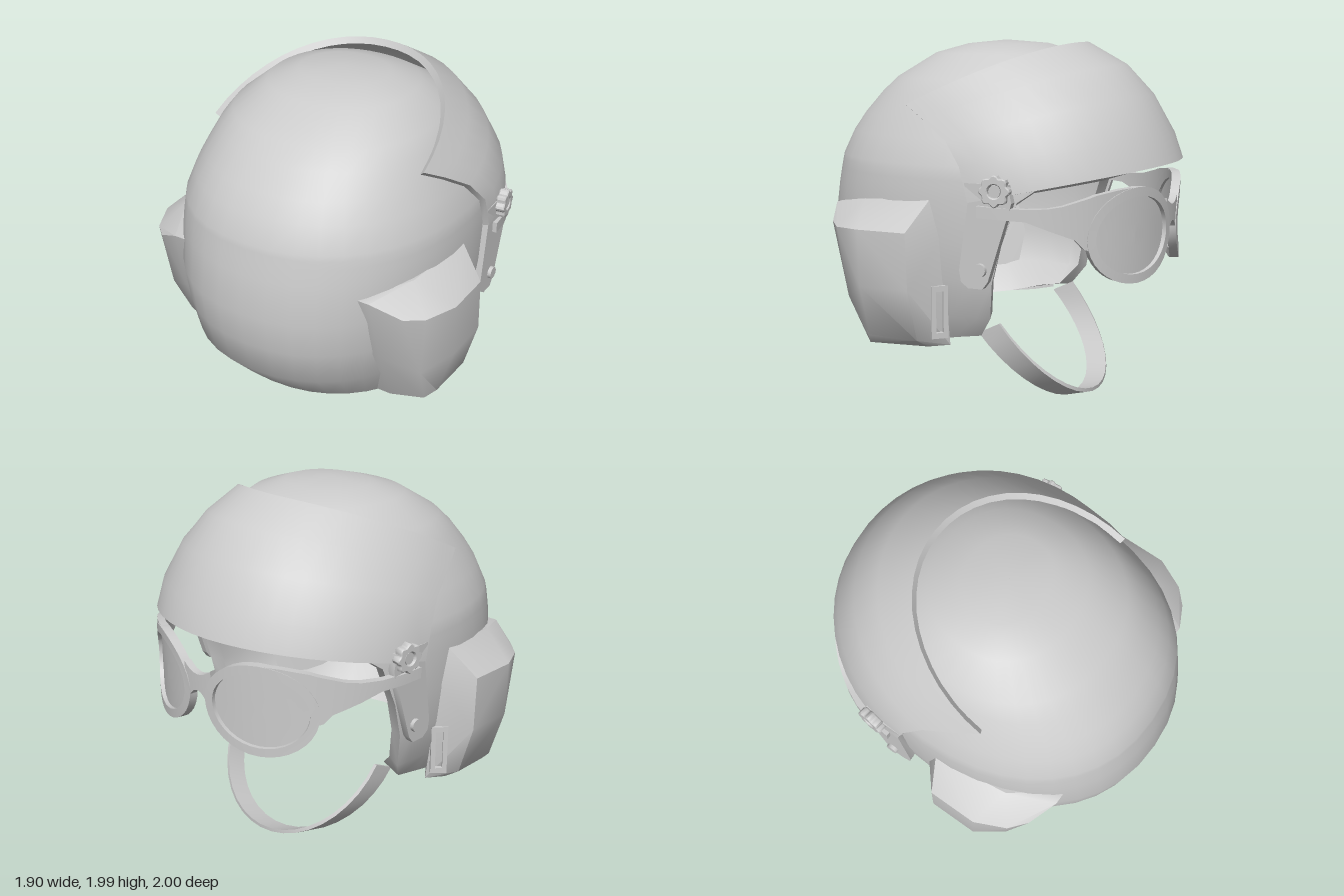
import * as THREE from 'three';
import { toCreasedNormals } from 'three/addons/utils/BufferGeometryUtils.js';
import { ConvexGeometry } from 'three/addons/geometries/ConvexGeometry.js';

const material = new THREE.MeshStandardMaterial({ color: 0xcccccc, side: THREE.DoubleSide });
const { sin, cos, abs, pow, PI } = Math;

// Swap two corners of every triangle
function flip(geo) {
  const idx = geo.index.array;
  for (let i = 0; i < idx.length; i += 3) [idx[i + 1], idx[i + 2]] = [idx[i + 2], idx[i + 1]];
  return geo;
}

// Closed thick sheet: point(u, v, side) gives the outer (0) and inner (1) skin
function sheet(nu, nv, point, crease = 0.7) {
  const pos = [], idx = [], row = nu + 1, layer = row * (nv + 1);
  for (let s = 0; s < 2; s++)
    for (let j = 0; j <= nv; j++)
      for (let i = 0; i <= nu; i++) pos.push(...point(i / nu, j / nv, s));
  const quad = (a, b, c, d) => idx.push(a, b, c, a, c, d);
  for (let j = 0; j < nv; j++)
    for (let i = 0; i < nu; i++) {
      const a = j * row + i, b = a + 1, c = b + row, d = a + row;
      quad(a, b, c, d);
      quad(a + layer, d + layer, c + layer, b + layer);
    }
  const wall = (a, b) => quad(b, a, a + layer, b + layer);
  for (let i = 0; i < nu; i++) {
    wall(i, i + 1);
    wall(nv * row + i + 1, nv * row + i);
  }
  for (let j = 0; j < nv; j++) {
    wall((j + 1) * row, j * row);
    wall(j * row + nu, (j + 1) * row + nu);
  }
  const geo = new THREE.BufferGeometry();
  geo.setAttribute('position', new THREE.Float32BufferAttribute(pos, 3));
  geo.setIndex(idx);
  // Turn the faces outward if the enclosed volume is negative
  const p = idx.map((k) => new THREE.Vector3().fromArray(pos, k * 3));
  let volume = 0;
  for (let i = 0; i < p.length; i += 3) volume += p[i].dot(p[i + 1].clone().cross(p[i + 2]));
  if (volume < 0) flip(geo);
  return toCreasedNormals(geo, crease);
}

// Mirrored copy across x = 0
function mirrored(geo) {
  const copy = (geo.index ? geo.toNonIndexed() : geo.clone()).scale(-1, 1, 1);
  copy.setIndex([...Array(copy.attributes.position.count).keys()]);
  return toCreasedNormals(flip(copy), 0.7);
}

// Shell rings: height, back depth, front depth, half width, wrap angle
const rings = [
  [0.38, 0.75, 0.72, 0.68, 100], [0.58, 0.93, 0.82, 0.75, 104], [0.78, 0.975, 0.86, 0.79, 105],
  [0.98, 1.0, 0.89, 0.81, 108], [1.2, 0.965, 0.9, 0.81, 113], [1.27, 0.952, 0.9, 0.805, 120],
  [1.3, 0.946, 0.9, 0.802, 135], [1.32, 0.942, 0.9, 0.8, 150], [1.34, 0.938, 0.9, 0.796, 165],
  [1.37, 0.932, 0.9, 0.79, 180], [1.5, 0.87, 0.86, 0.74, 180], [1.6, 0.8, 0.8, 0.69, 180],
  [1.72, 0.69, 0.71, 0.63, 180], [1.8, 0.6, 0.63, 0.57, 180], [1.93, 0.38, 0.4, 0.41, 180],
  [1.98, 0.2, 0.23, 0.25, 180], [2.0, 0.001, 0.001, 0.001, 180],
];
function shellPoint(u, v, inner) {
  const [h, back, front, w, wrap] = rings[Math.round(v * (rings.length - 1))];
  const a = THREE.MathUtils.clamp((u * 2 - 1) * 180, -wrap, wrap) * PI / 180;
  const c = cos(a), s = sin(a), e = 2 / 2.2;
  const x = Math.sign(s) * pow(abs(s), e) * w;
  const z = Math.sign(c) * pow(abs(c), e) * (c > 0 ? back : front);
  const y = h < 0.5 ? h + 0.09 * THREE.MathUtils.smoothstep(-z, -0.4, 0.2) : h;
  const k = h < 0.5 ? 0.8 : 0.89;
  return inner ? [x * k, 0.41 + (y - 0.38) * 0.93, z * k] : [x, y, z];
}

// Visor rows: centre y, z, then side end x, y, z
const visorRows = [
  [1.36, -1.0, 0.84, 1.2, -0.15], [1.5, -0.95, 0.83, 1.38, -0.1], [1.71, -0.83, 0.78, 1.5, 0],
  [1.87, -0.68, 0.72, 1.6, 0.16], [1.99, -0.46, 0.66, 1.67, 0.29],
];
function visorPoint(u, v, inner) {
  const [yc, zc, xe, ye, ze] = visorRows[Math.round(v * 4)];
  const t = (u - 0.5) * PI, c = Math.max(0, cos(t)), k = inner ? 0.96 : 1;
  const y = yc + (ye - yc) * pow(1 - c, 1.15);
  return [xe * sin(t) * k, 1.1 + (y - 1.1) * k, (ze + (zc - ze) * c) * k];
}

// Chin strap: a slanted half loop
function strapPoint(u, v, inner) {
  const a = u * PI, s = sin(a), r = 0.56 - inner * 0.02;
  return [-r * cos(a), 0.45 + v * 0.06 - (0.44 + v * 0.03) * s + inner * 0.02 * s, -0.08 - v * 0.12 - 0.37 * s];
}

// Place (angle, height, offset) on the curve around the face
const wrapFace = (t, y, d) => [(0.86 + d) * sin(t), y, -0.2 - (0.78 + d) * cos(t)];

// Goggle rim and lens as rings between two ellipses
function rimPoint(u, v, inner) {
  const a = u * 2 * PI;
  return wrapFace(0.455 + (0.325 + 0.06 * v) * cos(a), 1.013 + (0.203 + 0.048 * v) * sin(a), inner ? -0.045 : 0.004);
}
function lensPoint(u, v, inner) {
  const a = u * 2 * PI, r = 0.001 + v;
  return wrapFace(0.455 + 0.33 * r * cos(a), 1.013 + 0.207 * r * sin(a), inner ? -0.028 : -0.018);
}

// Temple stations: angle, top, bottom
const temple = [
  [0.44, 1.262, 1.225], [0.52, 1.262, 1.219], [0.6, 1.26, 1.2], [0.7, 1.25, 1.155], [0.78, 1.24, 1.06],
  [0.82, 1.23, 0.96], [0.86, 1.222, 0.97], [0.92, 1.21, 1.02], [1.0, 1.193, 1.045], [1.1, 1.182, 1.075],
  [1.24, 1.18, 1.118], [1.4, 1.185, 1.125], [1.56, 1.19, 1.13],
];
function templePoint(u, v, inner) {
  const [t, top, bottom] = temple[Math.round(u * (temple.length - 1))];
  return wrapFace(t, v ? top : bottom, inner ? -0.04 : 0);
}

// Bridge between the rims, narrowest over the nose
function bridgePoint(u, v, inner) {
  const t = (u - 0.5) * 0.24, b = t * t;
  return wrapFace(t, v ? 1.13 + b * 3 : 1.04 - b * 8, inner ? -0.04 : 0);
}

const vec2 = (list) => list.map(([x, y]) => new THREE.Vector2(x, y));

export function createModel() {
  const group = new THREE.Group();
  const add = (name, geo) => {
    const mesh = new THREE.Mesh(geo, material);
    mesh.name = name;
    group.add(mesh);
  };
  const addPair = (name, geo) => {
    add(name + 'Left', geo);
    add(name + 'Right', mirrored(geo));
  };

  add('helmetShell', sheet(40, rings.length - 1, shellPoint));
  add('visor', sheet(24, 4, visorPoint));
  add('chinStrap', sheet(20, 1, strapPoint));

  // Ear covers
  const ear = [
    [0.95, 1.04, 0.15], [0.95, 1.04, 0.43], [0.95, 0.74, 0.42], [0.95, 0.74, 0.14],
    [0.87, 0.46, 0.13], [0.86, 0.46, 0.42], [0.8, 0.415, 0.1], [0.8, 0.4, 0.45], [0.87, 1.03, 0.6],
    [0.83, 0.65, 0.56], [0.78, 1.04, 0.68], [0.74, 0.42, 0], [0.8, 1.0, 0.02], [0.8, 1.2, 0.08],
    [0.74, 1.17, 0.5], [0.62, 1.12, 0.75], [0.64, 0.75, 0.67], [0.62, 0.385, 0.5], [0.66, 0.41, 0.1],
    [0.54, 1.12, 0.75], [0.54, 0.75, 0.66], [0.5, 0.385, 0.5],
  ].map((p) => new THREE.Vector3(...p));
  addPair('earCover', toCreasedNormals(new ConvexGeometry(ear), 0.7));

  // Slotted strap holder on the front slope of each ear cover
  const slot = new THREE.Shape(vec2([[-0.045, -0.14], [0.045, -0.14], [0.045, 0.14], [-0.045, 0.14]]));
  slot.holes.push(new THREE.Path(vec2([[-0.02, -0.11], [-0.02, 0.11], [0.02, 0.11], [0.02, -0.11]])));
  const slotGeo = new THREE.ExtrudeGeometry(slot, { depth: 0.04, bevelEnabled: false });
  addPair('strapSlot', slotGeo.rotateY(PI * 0.74).translate(0.785, 0.61, 0.05));

  // Visor arms, drawn as (-z, y) and turned to the side
  const arm = new THREE.Shape(vec2([[0.13, 1.3], [0.15, 1.2], [0.1, 0.85], [0.11, 0.79], [0.15, 0.76],
    [0.23, 0.76], [0.26, 0.8], [0.39, 1.21], [0.37, 1.3]]));
  const armGeo = new THREE.ExtrudeGeometry(arm, { depth: 0.04, bevelEnabled: false });
  addPair('visorArm', armGeo.rotateY(PI / 2).translate(0.795, 0, 0));

  // Scalloped knob with a hub, and a small rivet lower on the arm
  const lobes = [];
  for (let i = 0; i < 48; i++) {
    const a = i / 48 * PI * 2, r = 0.07 + 0.007 * cos(a * 8);
    lobes.push([r * cos(a), r * sin(a)]);
  }
  const knob = new THREE.Shape(vec2(lobes));
  knob.holes.push(new THREE.Path().absarc(0, 0, 0.04, 0, PI * 2, true));
  const knobGeo = new THREE.ExtrudeGeometry(knob,
    { depth: 0.04, bevelSize: 0.005, bevelThickness: 0.006, bevelSegments: 1, curveSegments: 8 });
  addPair('visorKnob', knobGeo.rotateY(PI / 2 + 0.12).translate(0.828, 1.27, -0.305));
  const disc = (r, x, y, z) => new THREE.CylinderGeometry(r * 0.9, r, 0.06, 12).rotateZ(-PI / 2).translate(x, y, z);
  addPair('knobHub', disc(0.036, 0.835, 1.27, -0.31));
  addPair('armRivet', disc(0.038, 0.825, 0.86, -0.22));

  // Goggles
  addPair('goggleRim', sheet(36, 1, rimPoint));
  addPair('goggleLens', sheet(36, 3, lensPoint));
  addPair('goggleTemple', sheet(temple.length - 1, 1, templePoint));
  add('goggleBridge', sheet(8, 1, bridgePoint));

  return group;
}
